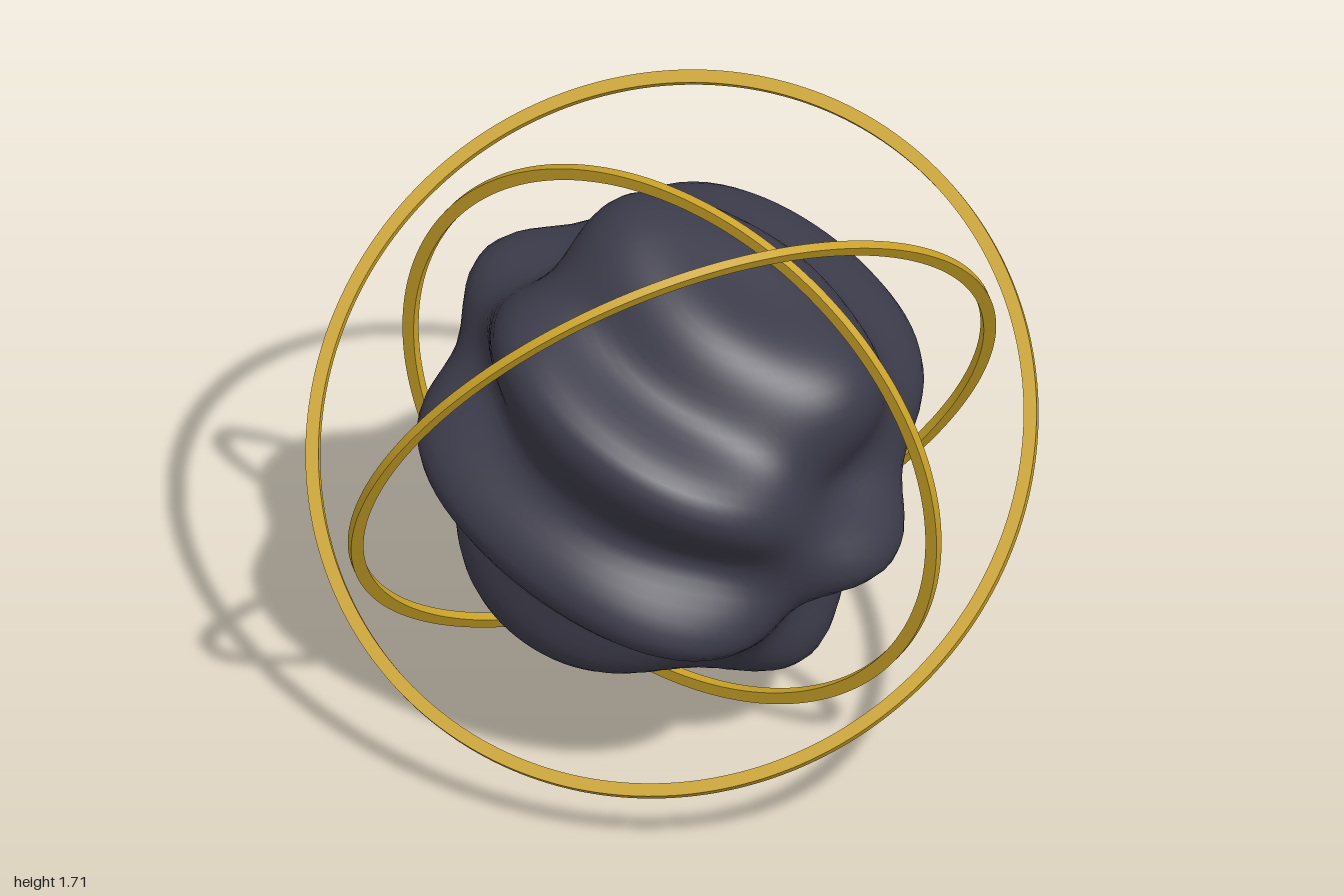
import * as THREE from 'three';
import { mergeVertices } from 'three/addons/utils/BufferGeometryUtils.js';

const CENTRE_Y = 0.86;

// Sphere whose radius is modulated by crossed waves along its axis and its depth
function rippledSphere(radius, amplitude) {
  let geo = new THREE.SphereGeometry(1, 96, 72);
  geo.deleteAttribute('uv');
  geo.deleteAttribute('normal');
  geo = mergeVertices(geo, 1e-5);
  const pos = geo.attributes.position;
  const p = new THREE.Vector3();
  for (let i = 0; i < pos.count; i++) {
    p.fromBufferAttribute(pos, i).normalize();
    const wave = Math.sin(9.6 * p.y) * Math.cos(4 * p.z);
    p.multiplyScalar(radius + amplitude * wave);
    pos.setXYZ(i, p.x, p.y, p.z);
  }
  geo.computeVertexNormals();
  return geo;
}

// Flat-sided hoop: an annulus extruded along its axis and centred on it
function hoop(radius, halfWidth, thickness) {
  const shape = new THREE.Shape().absarc(0, 0, radius + halfWidth, 0, Math.PI * 2);
  shape.holes.push(new THREE.Path().absarc(0, 0, radius - halfWidth, 0, Math.PI * 2));
  const geo = new THREE.ExtrudeGeometry(shape, { depth: thickness, bevelEnabled: false, curveSegments: 120 });
  return geo.translate(0, 0, -thickness / 2);
}

export function createModel() {
  const model = new THREE.Group();
  model.name = 'ringedCore';
  const slate = new THREE.MeshStandardMaterial({ color: 0x3b3a49 });
  slate.name = 'darkSlate';
  const gold = new THREE.MeshStandardMaterial({ color: 0xc9a227 });
  gold.name = 'gold';

  // Lobed core, tilted sideways
  const core = new THREE.Mesh(rippledSphere(0.635, 0.08), slate);
  core.name = 'core';
  core.position.y = CENTRE_Y;
  core.rotation.z = -0.41;
  model.add(core);

  // Three orbit rings, each given by radius and the normal of its plane
  const rings = [
    ['innerRing', 0.842, [0, -0.093, 0.996]],
    ['middleRing', 0.918, [0.742, -0.469, 0.479]],
    ['outerRing', 0.997, [0.165, 0.728, 0.666]],
  ];
  const forward = new THREE.Vector3(0, 0, 1);
  for (const [name, radius, normal] of rings) {
    const ring = new THREE.Mesh(hoop(radius, 0.018, 0.025), gold);
    ring.name = name;
    ring.position.y = CENTRE_Y;
    ring.quaternion.setFromUnitVectors(forward, new THREE.Vector3(...normal).normalize());
    model.add(ring);
  }
  return model;
}
